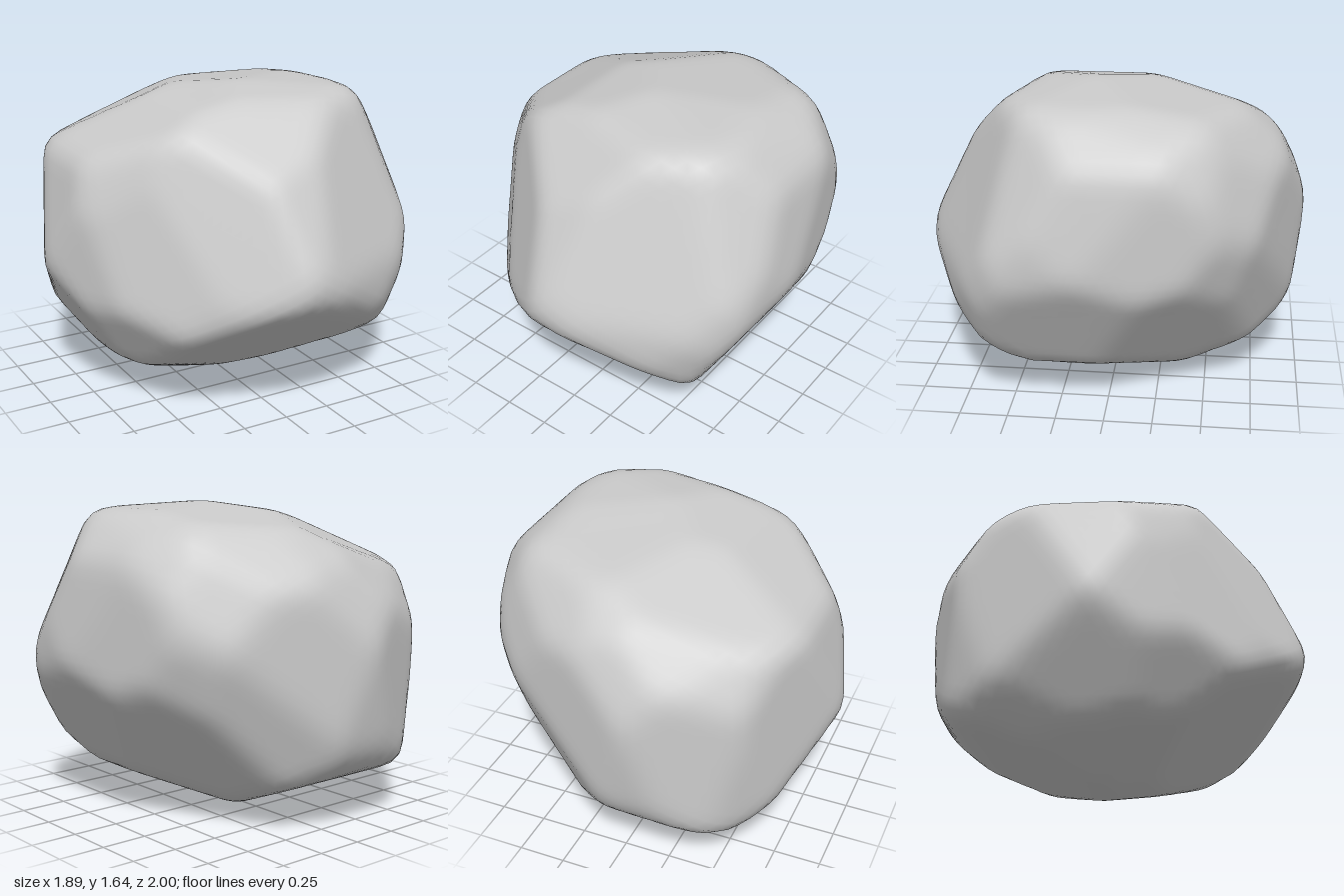
import * as THREE from 'three';
import { mergeVertices } from 'three/addons/utils/BufferGeometryUtils.js';

const V = (x, y, z) => new THREE.Vector3(x, y, z);
const rad = THREE.MathUtils.degToRad;
const planes = [];

// A worn facet: its outward normal and its distance from the boulder's centre
function facet(normal, h) {
  planes.push({ n: normal.normalize(), h });
}

// One facet per edge of an anticlockwise outline, drawn facing a heading and a tilt
function outline(heading, tilt, points) {
  const a = rad(heading), e = rad(tilt);
  const right = V(Math.cos(a), 0, -Math.sin(a));
  const up = V(-Math.sin(a) * Math.sin(e), Math.cos(e), -Math.cos(a) * Math.sin(e));
  points.forEach(([x0, y0], i) => {
    const [x1, y1] = points[(i + 1) % points.length];
    const length = Math.hypot(x1 - x0, y1 - y0);
    const nx = (y1 - y0) / length, ny = (x0 - x1) / length;
    const h = Math.max(...points.map(([x, y]) => x * nx + y * ny));
    facet(right.clone().multiplyScalar(nx).addScaledVector(up, ny), h);
  });
}

// Upright outlines, across the width and the depth
outline(0, 0, [[-0.94, -0.08], [-0.62, -0.61], [-0.22, -0.8], [0, -0.81], [0.6, -0.56], [0.94, 0.02],
  [0.85, 0.55], [0.64, 0.77], [0.07, 0.81], [-0.3, 0.73], [-0.79, 0.48]]);
outline(90, 0, [[-1, -0.02], [-0.95, -0.15], [-0.4, -0.66], [0.1, -0.81], [0.85, -0.51], [0.93, -0.36],
  [1, 0.13], [0.85, 0.52], [0.65, 0.7], [-0.1, 0.81], [-0.5, 0.76], [-0.63, 0.7]]);
// Ground plan
outline(0, 90, [[-0.1, -1], [0.17, -0.96], [0.72, -0.69], [0.88, -0.51], [0.94, -0.13],
  [0.8, 0.53], [0.6, 0.74], [-0.1, 1], [-0.63, 0.77], [-0.94, 0.1], [-0.7, -0.47]]);
// Slanting outlines, which chip the corners
outline(45, 25, [[-0.87, -0.05], [-0.82, -0.34], [0.07, -0.82], [0.32, -0.78], [0.86, -0.16], [0.96, 0.14],
  [0.84, 0.52], [0.59, 0.8], [-0.22, 0.8], [-0.57, 0.69], [-0.65, 0.57]]);
outline(-135, 25, [[-0.97, 0.13], [-0.68, -0.65], [-0.23, -0.87], [0.22, -0.89], [0.48, -0.75], [0.86, -0.2],
  [0.62, 0.59], [0.14, 0.94], [-0.15, 0.98], [-0.57, 0.87], [-0.78, 0.69], [-0.91, 0.45]]);
outline(135, -25, [[-1.04, 0.05], [-0.9, -0.41], [-0.53, -0.66], [0.23, -0.77], [0.56, -0.69], [0.92, -0.44],
  [1, 0.2], [0.86, 0.46], [0.52, 0.83], [-0.05, 0.98], [-0.68, 0.8]]);
// The broad front faces: steep side, sloping brow, and the face across the ridge
facet(V(-0.73, 0.15, 0.67), 0.76);
facet(V(-0.26, 0.6, 0.76), 0.86);
facet(V(0.42, 0.35, 0.84), 0.86);

// Distance from the centre to the nearest facet along a direction
function reach(dir) {
  let r = Infinity;
  for (const { n, h } of planes) {
    const k = n.dot(dir);
    if (k > 0.01) r = Math.min(r, h / k);
  }
  return r;
}

// Small nudges spread evenly through a ball, for rounding the edges
const SAMPLES = 40, ROUNDING = 0.12;
const nudges = Array.from({ length: SAMPLES }, (_, i) => {
  const polar = Math.acos(1 - (2 * i + 1) / SAMPLES);
  return V().setFromSphericalCoords(ROUNDING * (0.3 + 0.7 * ((i * 7) % SAMPLES) / SAMPLES), polar, i * 2.4);
});

// Averaging nearby directions wears the edges smooth; the swell makes up for the wear
const SWELL = 1.02;
function wornReach(dir) {
  let sum = 0;
  for (const nudge of nudges) sum += reach(dir.clone().add(nudge).normalize());
  return (SWELL * sum) / SAMPLES;
}

export function createModel() {
  let geometry = new THREE.IcosahedronGeometry(1, 18);
  geometry.deleteAttribute('uv');
  geometry.deleteAttribute('normal');
  geometry = mergeVertices(geometry, 1e-4);

  // Push each vertex of the ball out to the stone's surface
  const pos = geometry.attributes.position;
  for (let i = 0; i < pos.count; i++) {
    const p = V().fromBufferAttribute(pos, i).normalize();
    p.multiplyScalar(wornReach(p));
    pos.setXYZ(i, p.x, p.y, p.z);
  }

  // Rest it on the ground
  geometry.center();
  geometry.translate(0, -geometry.boundingBox.min.y, 0);
  geometry.computeVertexNormals();

  const boulder = new THREE.Mesh(geometry, new THREE.MeshStandardMaterial({ color: 0xcccccc }));
  boulder.name = 'boulder';
  const group = new THREE.Group();
  group.name = 'rock';
  group.add(boulder);
  return group;
}
